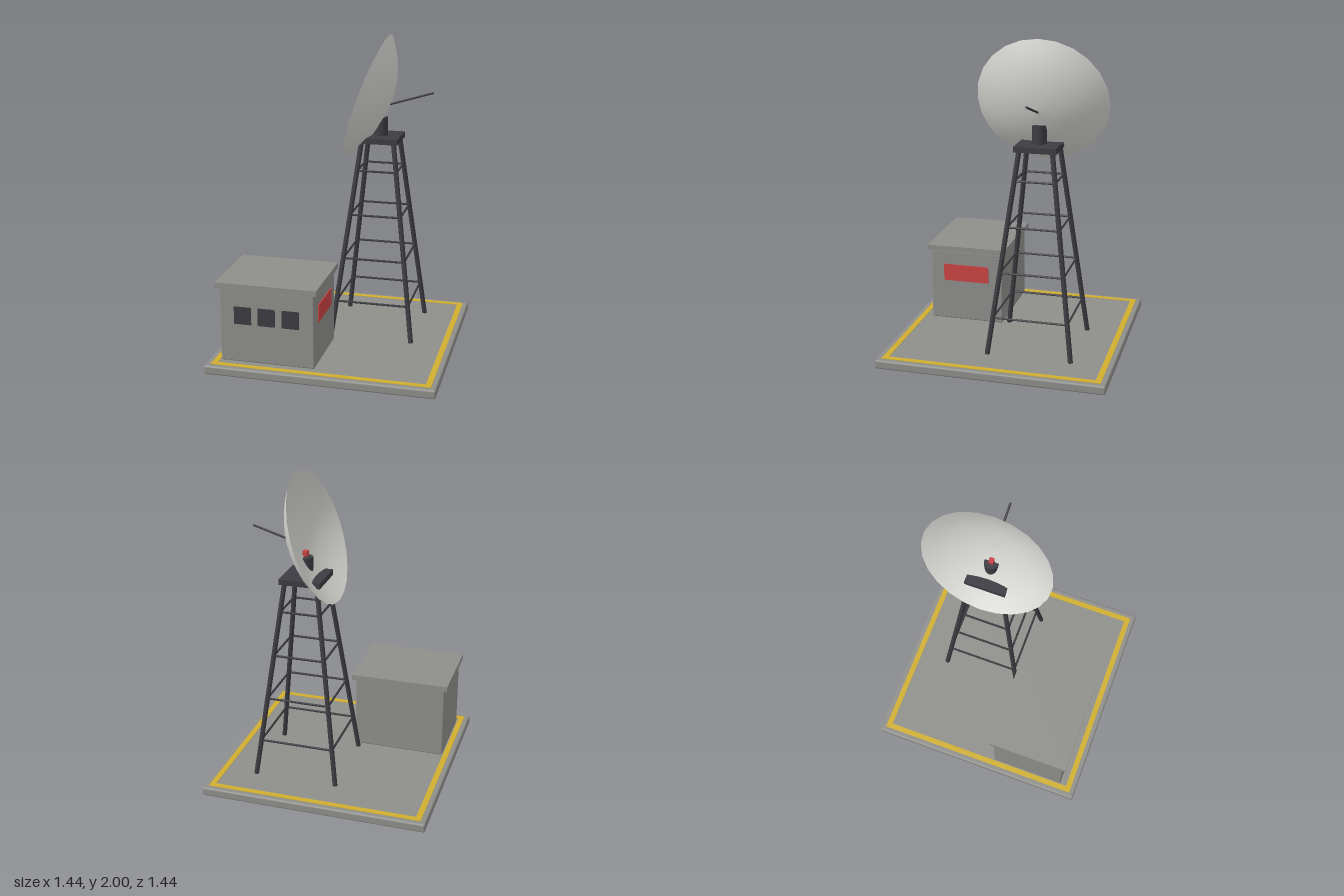
import * as THREE from 'three';
import { RoundedBoxGeometry } from 'three/addons/geometries/RoundedBoxGeometry.js';

const material = (name, color, extra = {}) => {
  const m = new THREE.MeshStandardMaterial({ color, ...extra });
  m.name = name;
  return m;
};

export function createModel() {
  const concrete = material('concrete grey', 0x8e8e8b);
  const steel = material('dark steel', 0x3c3c42);
  const shell = material('dish white', 0xd6d6d2, { side: THREE.DoubleSide });
  const yellow = material('marking yellow', 0xcfae2e);
  const red = material('signal red', 0xcc4444);

  const model = new THREE.Group();
  model.name = 'radarStation';

  const add = (parent, name, geometry, mat, x = 0, y = 0, z = 0) => {
    const mesh = new THREE.Mesh(geometry, mat);
    mesh.name = name;
    mesh.position.set(x, y, z);
    parent.add(mesh);
    return mesh;
  };
  const box = (parent, name, mat, w, h, d, x, y, z) =>
    add(parent, name, new THREE.BoxGeometry(w, h, d), mat, x, y, z);
  const group = (name, x = 0, y = 0, z = 0) => {
    const g = new THREE.Group();
    g.name = name;
    g.position.set(x, y, z);
    model.add(g);
    return g;
  };
  // Round bar between two points
  const bar = (parent, name, a, b, radius, sides) => {
    const from = new THREE.Vector3(...a), to = new THREE.Vector3(...b);
    const dir = to.clone().sub(from);
    const mesh = add(parent, name, new THREE.CylinderGeometry(radius, radius, dir.length(), sides), steel);
    mesh.position.copy(from).add(to).multiplyScalar(0.5);
    mesh.quaternion.setFromUnitVectors(new THREE.Vector3(0, 1, 0), dir.normalize());
    return mesh;
  };

  // Ground slab with a painted border
  add(model, 'slab', new RoundedBoxGeometry(1.44, 0.057, 1.44, 2, 0.012), concrete, 0, 0.0285, 0);
  const border = group('border');
  for (const s of [-1, 1]) {
    box(border, 'borderStripe', yellow, 1.372, 0.006, 0.036, 0, 0.057, s * 0.668);
    box(border, 'borderStripe', yellow, 0.036, 0.006, 1.3, s * 0.668, 0.057, 0);
  }

  // Control hut
  const hut = group('hut', -0.345, 0, 0.36);
  add(hut, 'walls', new RoundedBoxGeometry(0.6, 0.48, 0.49, 2, 0.01), concrete, 0, 0.295, 0);
  box(hut, 'roof', concrete, 0.64, 0.036, 0.53, 0, 0.554, 0);
  for (const x of [-0.152, 0, 0.152])
    box(hut, 'window', steel, 0.108, 0.112, 0.009, x, 0.364, 0.2485);
  box(hut, 'sidePanel', red, 0.008, 0.112, 0.305, 0.303, 0.385, 0.003);

  // Lattice tower: four leaning legs joined by square rings of rungs
  const tower = group('tower', 0.187, 0, -0.19);
  const foot = 0.265, head = 0.102, low = 0.057, high = 1.34;
  const spread = (y) => foot + (head - foot) * (y - low) / (high - low);
  for (const sx of [-1, 1])
    for (const sz of [-1, 1])
      bar(tower, 'leg', [sx * foot, low, sz * foot], [sx * head, high, sz * head], 0.016, 8);
  for (const y of [0.29, 0.575, 0.86, 1.145]) {
    const h = spread(y);
    for (const s of [-1, 1]) {
      bar(tower, 'rung', [-h, y, s * h], [h, y, s * h], 0.007, 6);
      bar(tower, 'rung', [s * h, y, -h], [s * h, y, h], 0.007, 6);
    }
  }
  box(tower, 'platform', steel, 0.264, 0.036, 0.264, 0, 1.342, 0);
  add(tower, 'pivot', new THREE.CylinderGeometry(0.046, 0.046, 0.116, 16), steel, 0, 1.418, 0);
  box(tower, 'beacon', red, 0.03, 0.034, 0.03, 0, 1.497, 0);

  // Dish: outer and inner spherical caps meeting at the rim
  const dish = group('dish', 0.105, 1.607, -0.19);
  dish.rotation.z = 1.24;
  const rim = 0.415;
  const cap = (depth) => {
    const R = (rim * rim + depth * depth) / (2 * depth);
    const half = Math.asin(rim / R), points = [];
    for (let i = 0; i <= 5; i++) {
      const a = half * i / 5;
      points.push(new THREE.Vector2(R * Math.sin(a), R - depth - R * Math.cos(a)));
    }
    return new THREE.LatheGeometry(points, 24);
  };
  add(dish, 'dishBack', cap(0.149), shell);
  add(dish, 'dishFace', cap(0.134), shell);

  // Rod behind the dish
  bar(model, 'rod', [0.235, 1.558, -0.19], [0.522, 1.645, -0.19], 0.007, 8);

  return model;
}
